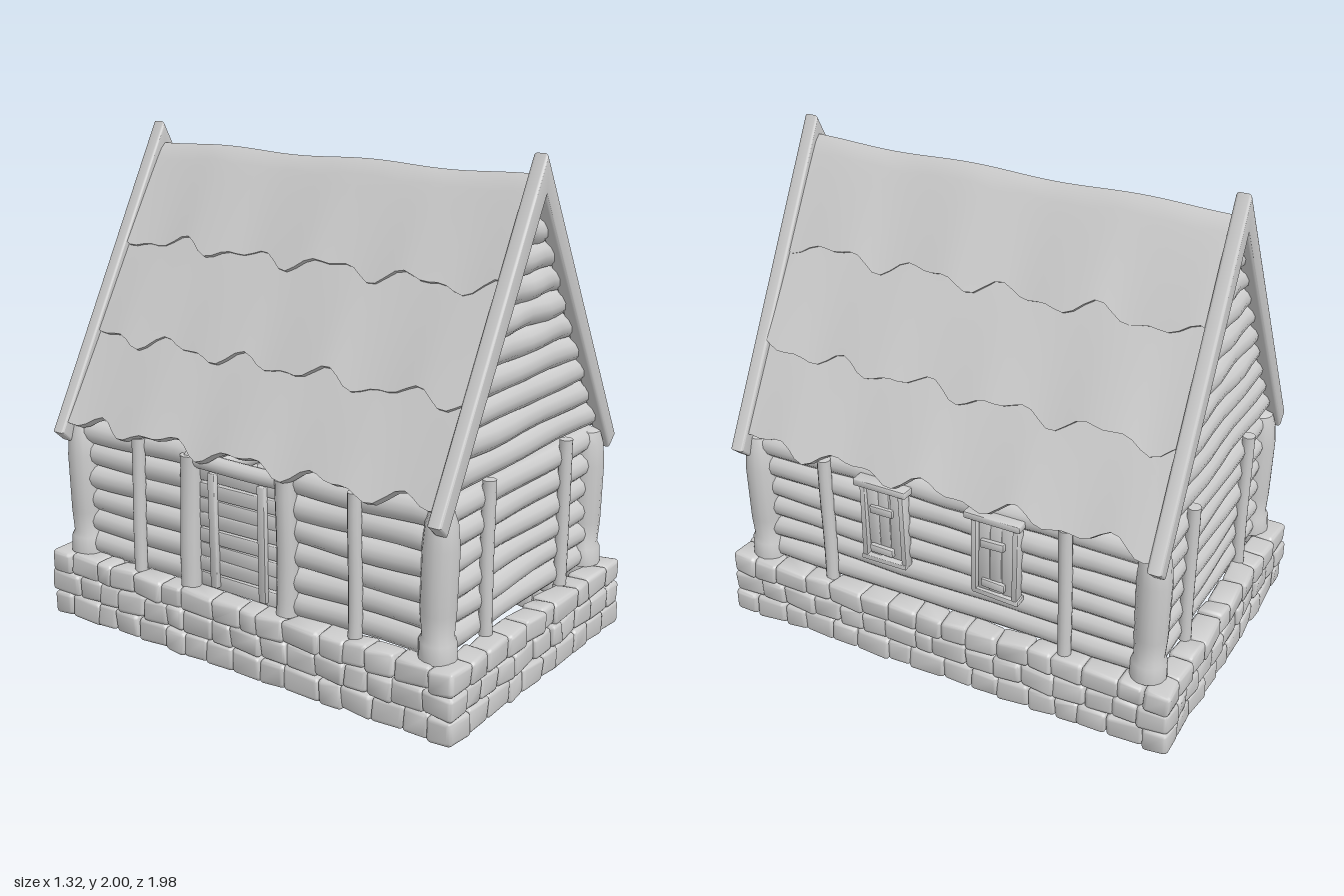
import * as THREE from 'three';
import { toCreasedNormals } from 'three/addons/utils/BufferGeometryUtils.js';
import { RoundedBoxGeometry } from 'three/addons/geometries/RoundedBoxGeometry.js';

const material = new THREE.MeshStandardMaterial({ color: 0xcccccc, side: THREE.DoubleSide });

let seed = 7;
function random() {
  seed = (seed * 16807) % 2147483647;
  return seed / 2147483647;
}

// Move every vertex by a rule
function reshape(geometry, rule) {
  const p = geometry.attributes.position;
  const v = new THREE.Vector3();
  for (let i = 0; i < p.count; i++) {
    rule(v.fromBufferAttribute(p, i));
    p.setXYZ(i, v.x, v.y, v.z);
  }
  return geometry;
}

// Gentle hand-hewn unevenness
function roughen(geometry, amount, frequency) {
  const s = random() * 50;
  return reshape(geometry, (v) => {
    const { x, y, z } = v;
    v.x += amount * Math.sin(frequency * (y + 0.7 * z) + s);
    v.y += amount * Math.sin(frequency * (z - 0.8 * x) + s * 2);
    v.z += amount * Math.sin(frequency * (x + 0.6 * y) + s * 3);
  });
}

function add(parent, name, geometry, x = 0, y = 0, z = 0, crease = 0.8) {
  const mesh = new THREE.Mesh(toCreasedNormals(geometry, crease), material);
  mesh.name = name;
  mesh.position.set(x, y, z);
  parent.add(mesh);
  return mesh;
}

function group(parent, name) {
  const g = new THREE.Group();
  g.name = name;
  parent.add(g);
  return g;
}

// Round timber along one axis
function log(parent, name, axis, length, radius, x, y, z) {
  const g = new THREE.CylinderGeometry(radius, radius, length, 12, 8);
  if (axis === 'x') g.rotateZ(Math.PI / 2);
  if (axis === 'z') g.rotateX(Math.PI / 2);
  return add(parent, name, roughen(g, radius * 0.08, 9), x, y, z);
}

function plank(parent, name, w, h, d, x, y, z) {
  const g = new RoundedBoxGeometry(w, h, d, 1, Math.min(w, h, d) * 0.2);
  return add(parent, name, roughen(g, 0.003, 14), x, y, z);
}

// One row of stones centred at (cx, cz), running along an axis
function stoneRow(parent, axis, length, thick, cx, y, height, cz) {
  const count = Math.round(length / 0.125);
  const cuts = [0];
  for (let i = 1; i < count; i++) cuts.push((i + (random() - 0.5) * 0.45) / count);
  cuts.push(1);
  for (let i = 0; i < count; i++) {
    const size = (cuts[i + 1] - cuts[i]) * length + 0.004;
    const mid = ((cuts[i] + cuts[i + 1]) / 2 - 0.5) * length;
    const depth = thick - random() * 0.012;
    const along = axis === 'x';
    const g = new RoundedBoxGeometry(along ? size : depth, height, along ? depth : size, 2, 0.018);
    roughen(g, 0.005, 22);
    add(parent, 'stone', g, cx + (along ? mid : 0), y, cz + (along ? 0 : mid));
  }
}

function buildFoundation(parent) {
  const base = group(parent, 'stoneFoundation');
  const t = 0.11;
  [[0, 0.1], [0.098, 0.095], [0.19, 0.092]].forEach(([bottom, h], course) => {
    const y = bottom + h / 2;
    const lapX = course % 2 ? 2 * t : 0; // corners alternate between courses
    for (const s of [-1, 1]) {
      stoneRow(base, 'x', 1.3 - lapX, t, 0, y, h, s * (0.985 - t / 2));
      stoneRow(base, 'z', 1.97 - 2 * t + lapX, t, s * (0.65 - t / 2), y, h, 0);
    }
  });
}

function buildWalls(parent) {
  const walls = group(parent, 'logWalls');
  for (let i = 0; i < 6; i++) {
    const y = 0.325 + i * 0.096;
    for (const s of [-1, 1]) log(walls, 'endWallLog', 'x', 1.06, 0.052, 0, y, s * 0.84);
    log(walls, 'windowWallLog', 'z', 1.68, 0.052, 0.53, y, 0);
    // Wall with the doorway
    log(walls, 'doorWallLog', 'z', 0.6, 0.052, -0.53, y, -0.56);
    log(walls, 'doorWallLog', 'z', 0.64, 0.052, -0.53, y, 0.52);
  }
  // Gable logs, cut to the roof slope
  for (const s of [-1, 1]) {
    for (let i = 0; i < 10; i++) {
      const y = 0.92 + i * 0.1;
      const g = new THREE.CylinderGeometry(0.056, 0.056, 2, 12, 8).rotateZ(Math.PI / 2);
      roughen(g, 0.004, 6);
      reshape(g, (v) => { v.x *= Math.max(0.005, (1.88 - y - v.y) / 1.8); });
      add(walls, 'gableLog', g, 0, y, s * 0.84);
    }
  }
}

function buildPosts(parent) {
  const posts = group(parent, 'posts');
  const profile = [[0, 0.28], [0.072, 0.28], [0.07, 0.35], [0.06, 0.37], [0.066, 0.46],
    [0.067, 0.7], [0.06, 0.79], [0.045, 0.84], [0, 0.86]].map(([x, y]) => new THREE.Vector2(x, y));
  for (const sx of [-1, 1]) {
    for (const sz of [-1, 1]) {
      add(posts, 'cornerPost', roughen(new THREE.LatheGeometry(profile, 14), 0.003, 12), sx * 0.55, 0, sz * 0.86);
      log(posts, 'endWallPost', 'y', 0.6, 0.026, sx * 0.288, 0.58, sz * 0.897);
      log(posts, 'sideWallPost', 'y', 0.56, 0.027, sx * 0.587, 0.56, sz * 0.525);
    }
  }
}

function buildWindows(parent) {
  for (const z of [0.25, -0.24]) {
    const w = group(parent, 'shutteredWindow');
    w.position.set(0.585, 0, z);
    for (let i = -1; i <= 1; i++) plank(w, 'shutterPlank', 0.03, 0.32, 0.05, 0, 0.63, i * 0.05);
    for (const s of [-1, 1]) plank(w, 'windowJamb', 0.05, 0.34, 0.022, 0.005, 0.63, s * 0.087);
    plank(w, 'windowSill', 0.055, 0.022, 0.2, 0.005, 0.46, 0);
    plank(w, 'windowLintel', 0.07, 0.03, 0.235, 0.008, 0.803, 0);
    for (const y of [0.505, 0.69]) plank(w, 'hinge', 0.02, 0.034, 0.1, 0.02, y, 0.01);
  }
}

function buildDoor(parent) {
  const door = group(parent, 'door');
  door.position.set(-0.55, 0, -0.03);
  for (let i = 0; i < 8; i++) plank(door, 'doorPlank', 0.03, 0.06, 0.4, 0, 0.315 + i * 0.062, 0);
  for (const s of [-1, 1]) {
    plank(door, 'doorBrace', 0.025, 0.47, 0.035, -0.02, 0.53, s * 0.12);
    log(door, 'doorPost', 'y', 0.54, 0.042, -0.025, 0.55, s * 0.235);
  }
  log(door, 'doorLintel', 'z', 0.5, 0.032, -0.015, 0.8, 0);
}

// Three overlapping thatch rows on each slope, with wavy lower edges
function buildRoof(parent) {
  const roof = group(parent, 'roof');
  for (const side of [0, 1]) {
    for (let row = 0; row < 3; row++) {
      const g = new THREE.BoxGeometry(1, 1, 1, 10, 1, 48);
      reshape(g, (v) => {
        const u = v.x + 0.5;
        const z = v.z * 1.78;
        const edge = 0.012 * Math.sin(z * 17 + row * 2 + side) + 0.008 * Math.sin(z * 31 + row);
        const run = row * 0.2 + u * ((row === 2 ? 0.205 : 0.225) + edge);
        const lift = (row ? 0.002 : 0) + 0.016 * u + 0.006 * u * Math.sin(z * 13 + row * 3 + side * 2)
          + (v.y - 0.5) * 0.035;
        const sag = 0.006 * Math.sin(z * 9 + side * Math.PI) * (1 - run);
        const x = run + 0.874 * lift;
        const y = 1.92 - 1.81 * (Math.hypot(run, 0.015) - 0.015) + 0.486 * lift + sag;
        v.set(Math.max(0, x), y, z);
      });
      add(roof, 'thatchRow', g, 0, 0, 0, 0.7).rotation.y = side * Math.PI;
    }
  }
  // Chevron boards closing both gable ends
  const chevron = new THREE.Shape([[0, 2], [-0.66, 0.81], [-0.61, 0.765], [0, 1.85], [0.61, 0.765], [0.66, 0.81]]
    .map(([x, y]) => new THREE.Vector2(x, y)));
  for (const s of [-1, 1]) {
    const g = new THREE.ExtrudeGeometry(chevron, {
      depth: 0.036, bevelThickness: 0.012, bevelSize: 0.014, bevelOffset: -0.014, bevelSegments: 3,
    }).translate(0, 0, -0.018);
    add(roof, 'gableBoard', g, 0, 0, s * 0.898);
  }
}

export function createModel() {
  seed = 7;
  const cabin = new THREE.Group();
  cabin.name = 'logCabin';
  buildFoundation(cabin);
  buildWalls(cabin);
  buildPosts(cabin);
  buildWindows(cabin);
  buildDoor(cabin);
  buildRoof(cabin);
  return cabin;
}
